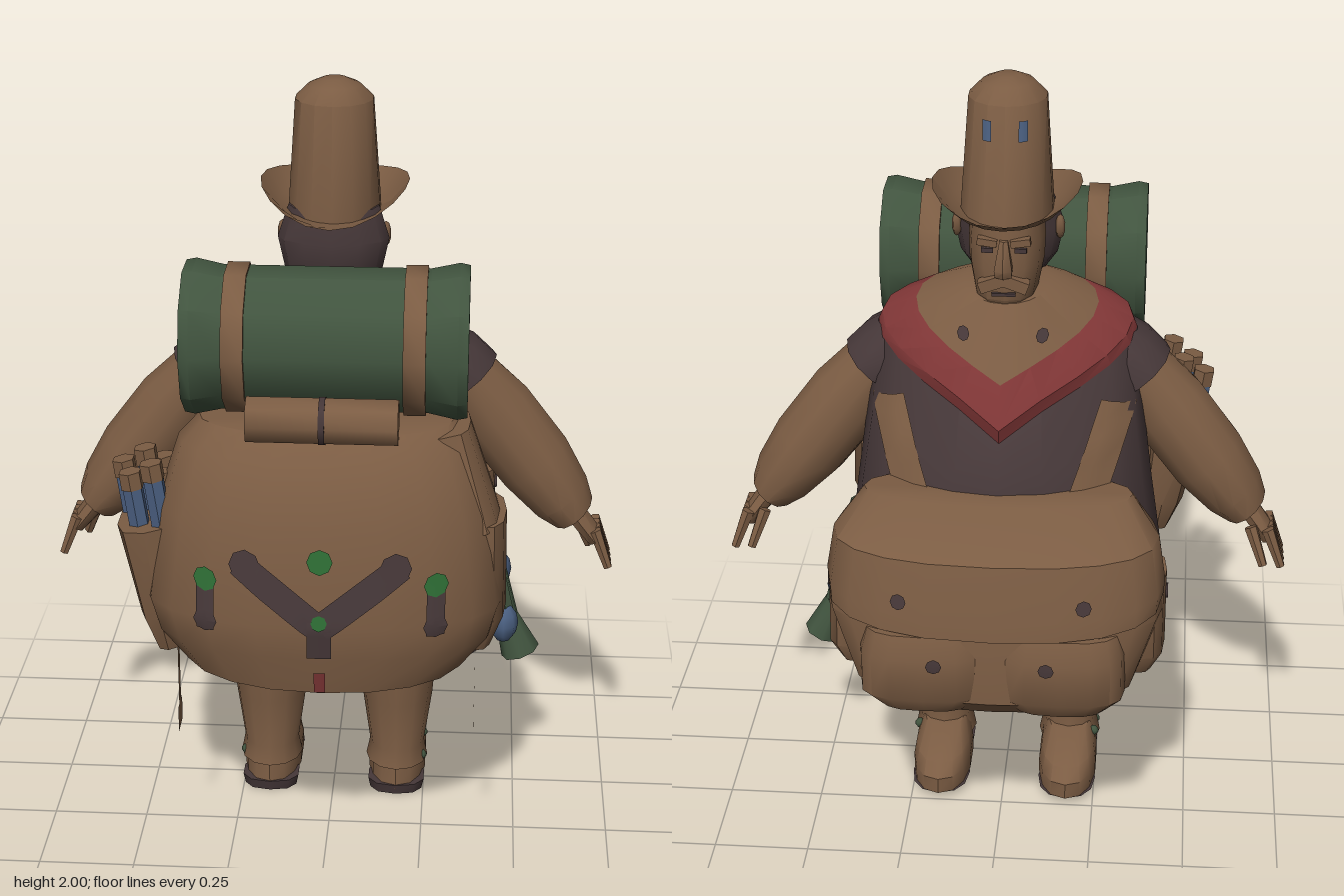
import * as THREE from 'three';
import { toCreasedNormals } from 'three/addons/utils/BufferGeometryUtils.js';

const colour = (name, hex, side = THREE.FrontSide) => {
  const m = new THREE.MeshStandardMaterial({ color: hex, side });
  m.name = name;
  return m;
};

// A flat ring: height, half width, z of the -z edge, z of the +z edge
const ring = (y, hx, zf, zb) => [hx, zf, y, zb, y];

// Skin over rings [halfWidth, zMin, yAtZMin, zMax, yAtZMax, pull to +z, hump], listed bottom to top
function loft(rings, n = 16, p = 1, openBottom = false) {
  const pos = [], idx = [];
  const pow = v => Math.sign(v) * Math.abs(v) ** p;
  rings.forEach(([hx, zf, yf, zb, yb, pull = 1, hump = 1]) => {
    for (let j = 0; j < n; j++) {
      const a = j / n * Math.PI * 2, t = Math.max(0, (pow(Math.cos(a)) + 1) / 2) ** pull;
      pos.push(hx * pow(Math.sin(a)), yf + (yb - yf) * t ** hump, zf + (zb - zf) * t);
    }
  });
  const last = rings.length - 1;
  for (let i = 0; i < last; i++) for (let j = 0; j < n; j++) {
    const a = i * n + j, b = i * n + (j + 1) % n;
    idx.push(a, b, b + n, a, b + n, a + n);
  }
  (openBottom ? [last] : [0, last]).forEach(i => {
    const [, zf, yf, zb, yb] = rings[i], c = pos.length / 3;
    pos.push(0, (yf + yb) / 2, (zf + zb) / 2);
    for (let j = 0; j < n; j++) {
      const a = i * n + j, b = i * n + (j + 1) % n;
      idx.push(c, i ? a : b, i ? b : a);
    }
  });
  const g = new THREE.BufferGeometry();
  g.setAttribute('position', new THREE.Float32BufferAttribute(pos, 3));
  g.setIndex(idx);
  return toCreasedNormals(g, 0.7);
}

export function createModel() {
  const model = new THREE.Group();
  const brown = colour('brown leather', 0x7b5c43, THREE.DoubleSide);
  const dark = colour('dark cloth', 0x453738, THREE.DoubleSide);
  const green = colour('dull green', 0x41543f);
  const red = colour('red cloth', 0x7d3535);
  const blue = colour('slate blue', 0x4a5f80);
  const bright = colour('bright green', 0x2d6b34);

  const add = (name, geo, mat, x = 0, y = 0, z = 0, parent = model) => {
    const m = new THREE.Mesh(geo, mat);
    m.name = name;
    m.position.set(x, y, z);
    parent.add(m);
    return m;
  };
  const cyl = (rt, rb, h, n = 8) => toCreasedNormals(new THREE.CylinderGeometry(rt, rb, h, n), 0.8);
  // Cylinder reaching from point a to point b
  const rod = (name, a, b, ra, rb, mat, n = 6) => {
    const A = new THREE.Vector3(...a), B = new THREE.Vector3(...b), d = B.clone().sub(A);
    const m = add(name, cyl(rb, ra, d.length(), n), mat);
    m.position.copy(A).add(B).multiplyScalar(0.5);
    m.quaternion.setFromUnitVectors(new THREE.Vector3(0, 1, 0), d.normalize());
  };
  // Lay a flat patch on a mesh, seen from +z (dir 1) or -z (dir -1)
  const caster = new THREE.Raycaster();
  const drape = (name, target, geo, mat, x, y, dir = 1, turn = 0, lift = 0.006) => {
    if (dir < 0) geo.rotateY(Math.PI);
    geo.rotateZ(turn).translate(x, y, 0);
    const p = geo.attributes.position;
    let z = 0;
    for (let i = 0; i < p.count; i++) {
      caster.set(new THREE.Vector3(p.getX(i), p.getY(i), 3 * dir), new THREE.Vector3(0, 0, -dir));
      const hit = caster.intersectObject(target)[0];
      if (hit) z = hit.point.z;
      p.setZ(i, z + lift * dir);
    }
    geo.computeVertexNormals();
    add(name, geo, mat);
  };
  const strip = (w, l) => new THREE.PlaneGeometry(w, l, 3, 8);
  const dot = r => new THREE.CircleGeometry(r, 8);

  // Tunic, scarf and collar share their edge rings
  const scarfLow = [0.335, -0.31, 1.14, 0.14, 1.40, 0.6, 0.6], scarfTop = [0.235, -0.265, 1.28, 0.12, 1.455, 0.65, 0.65];
  const tunic = add('tunic', loft([ring(0.44, 0.43, -0.39, 0.265), ring(0.7, 0.42, -0.4, 0.24),
    ring(0.95, 0.385, -0.39, 0.19), [0.355, -0.36, 1.06, 0.15, 1.24, 0.85, 0.8], scarfLow], 20, 1, true), dark);
  add('scarf', loft([scarfLow, [0.325, -0.322, 1.18, 0.145, 1.42, 0.6, 0.6], scarfTop], 20), red);
  const collar = add('collar', loft([scarfTop, [0.11, -0.145, 1.45, 0.07, 1.49]], 20), brown);
  for (const s of [1, -1]) {
    drape('shoulderStrap', tunic, strip(0.095, 0.3), brown, s * 0.245, 1.06, -1, -s * 0.35);
    drape('collarStud', collar, dot(0.016), dark, s * 0.1, 1.38, -1);
  }

  // Head
  add('head', loft([ring(1.42, 0.05, -0.125, 0), ring(1.46, 0.08, -0.15, 0.05), ring(1.54, 0.096, -0.15, 0.09),
    ring(1.6, 0.098, -0.145, 0.1), ring(1.7, 0.09, -0.13, 0.1)], 12, 0.9), brown);
  add('hair', loft([ring(1.47, 0.09, 0, 0.1), ring(1.52, 0.125, -0.03, 0.125), ring(1.6, 0.142, -0.03, 0.13),
    ring(1.68, 0.115, -0.04, 0.11)], 12), dark);
  add('nose', loft([ring(1.53, 0.024, -0.18, -0.13), ring(1.55, 0.026, -0.188, -0.13), ring(1.62, 0.012, -0.155, -0.13)], 6), brown);
  add('mouth', new THREE.BoxGeometry(0.06, 0.008, 0.01), dark, 0, 1.478, -0.149);
  for (const s of [1, -1]) {
    add('moustache', new THREE.BoxGeometry(0.065, 0.03, 0.035), brown, s * 0.03, 1.508, -0.145).rotation.z = -s * 0.35;
    add('brow', new THREE.BoxGeometry(0.05, 0.018, 0.025), brown, s * 0.042, 1.615, -0.138).rotation.z = s * 0.15;
    add('eye', new THREE.BoxGeometry(0.03, 0.012, 0.01), dark, s * 0.042, 1.592, -0.137);
    add('ear', new THREE.SphereGeometry(0.033, 6, 5).scale(0.4, 1, 0.6), brown, s * 0.132, 1.6, 0.015);
  }

  // Hat with a curled brim
  const crown = add('hatCrown', loft([ring(1.655, 0.12, -0.152, 0.13), ring(1.95, 0.1, -0.095, 0.112),
    ring(1.985, 0.065, -0.055, 0.08), ring(2, 0.03, -0.02, 0.045)], 14), brown);
  const brim = new THREE.RingGeometry(0.5, 1, 20, 2).rotateX(-Math.PI / 2), bp = brim.attributes.position;
  for (let i = 0; i < bp.count; i++) {
    const x = bp.getX(i), z = bp.getZ(i), t = 2 * Math.hypot(x, z) - 1;
    bp.setXYZ(i, x * 0.19, 1.655 + t * (0.08 * x * x + (z < 0 ? 0.045 : 0.015) * z * z), z * 0.245 - 0.018);
  }
  brim.computeVertexNormals();
  add('hatBrim', brim, brown);
  for (const s of [1, -1]) drape('hatSpot', crown, strip(0.022, 0.05), blue, s * 0.045, 1.89, -1);

  // Arms and hands
  for (const s of [1, -1]) {
    const arm = new THREE.Group();
    arm.name = s > 0 ? 'leftArm' : 'rightArm';
    arm.position.set(s * 0.325, 1.235, 0);
    arm.rotation.z = s * 0.66;
    model.add(arm);
    add('sleeve', loft([ring(-0.51, 0.062, -0.1, 0.085), ring(-0.45, 0.085, -0.115, 0.1), ring(-0.33, 0.105, -0.12, 0.1),
      ring(-0.15, 0.108, -0.105, 0.1), ring(0.03, 0.08, -0.08, 0.1)], 12), brown, 0, 0, 0, arm);
    add('shoulderCap', loft([ring(-0.03, 0.1, -0.12, 0.125), ring(0.04, 0.09, -0.11, 0.125),
      ring(0.13, 0.05, -0.06, 0.1)], 12), dark, 0, 0, 0, arm);
    add('palm', loft([ring(-0.61, 0.024, -0.075, 0.035), ring(-0.55, 0.028, -0.06, 0.035),
      ring(-0.48, 0.028, -0.045, 0.03)], 8), brown, 0, 0, 0, arm);
    for (let f = 0; f < 5; f++) {
      const thumb = f === 4;
      const finger = add(thumb ? 'thumb' : 'finger', cyl(0.018, 0.012, 0.11, 6), brown,
        s * (thumb ? -0.03 : 0.002), thumb ? -0.6 : -0.635, thumb ? -0.08 : 0.025 - f * 0.032, arm);
      finger.rotation.set(thumb ? 0.3 : (f - 1.2) * 0.08, 0, -s * 0.3);
    }
  }

  // Legs and shoes
  for (const s of [1, -1]) {
    const x = s * 0.175;
    add('leg', loft([ring(0.08, 0.085, -0.085, 0.105), ring(0.13, 0.075, -0.07, 0.095), ring(0.28, 0.096, -0.085, 0.11),
      ring(0.44, 0.108, -0.1, 0.12), ring(0.8, 0.14, -0.15, 0.13)], 12), brown, x);
    add('shoe', loft([ring(0.02, 0.08, -0.25, 0.105), ring(0.065, 0.08, -0.25, 0.1), [0.074, -0.215, 0.095, 0.095, 0.11],
      [0.058, -0.1, 0.135, 0.085, 0.15]], 14, 0.85), brown, x);
    add('sole', loft([ring(0.004, 0.07, -0.22, -0.06), ring(0.021, 0.079, -0.248, -0.04)], 12, 0.85), dark, x);
    add('heel', loft([ring(0, 0.074, -0.02, 0.1), ring(0.03, 0.08, -0.025, 0.107)], 10, 0.8), dark, x);
    for (const [y, z] of [[0.095, 0.04], [0.115, -0.05]])
      add('ankleStud', new THREE.SphereGeometry(0.014, 6, 5), green, x + s * 0.07, y, z);
  }

  // Backpack and the painted emblem on its face
  const pack = add('backpack', loft([[0.12, 0.28, 0.54, 0.46, 0.535], [0.36, 0.18, 0.63, 0.585, 0.58], ring(0.68, 0.43, 0.155, 0.605),
    ring(0.77, 0.455, 0.15, 0.615), ring(1.0, 0.425, 0.14, 0.57), ring(1.17, 0.37, 0.15, 0.52),
    ring(1.22, 0.32, 0.17, 0.46)], 20, 0.9), brown);
  for (const s of [1, -1]) {
    drape('emblemArm', pack, strip(0.07, 0.25), dark, s * 0.1, 0.85, 1, -s * 0.92);
    drape('emblemTip', pack, dot(0.04), dark, s * 0.185, 0.92);
    drape('buckleStrap', pack, strip(0.045, 0.14), dark, s * 0.285, 0.815);
    drape('buckleStrapEnd', pack, dot(0.03), dark, s * 0.285, 0.77);
    drape('buckle', pack, dot(0.03), bright, s * 0.285, 0.875, 1, 0, 0.009);
    const tag = new THREE.Group();
    tag.name = 'hangingPaddle';
    tag.position.set(s * 0.385, 0, 0.345);
    tag.rotation.y = Math.PI / 2;
    model.add(tag);
    add('paddleStick', new THREE.PlaneGeometry(0.035, 0.26), brown, 0, 0.52, 0, tag);
    add('paddleBlade', new THREE.PlaneGeometry(0.075, 0.07), brown, 0, 0.375, 0, tag);
  }
  drape('emblemStem', pack, strip(0.06, 0.1), dark, 0, 0.74);
  drape('emblemStud', pack, dot(0.032), bright, 0, 0.94);
  drape('emblemStud', pack, dot(0.02), bright, 0, 0.79, 1, 0, 0.009);
  drape('redTab', pack, strip(0.028, 0.06), red, 0, 0.615);

  // Side pocket with flap, and the open pocket of map tubes
  add('sidePocket', loft([ring(0.63, 0.05, 0.24, 0.43), ring(0.72, 0.085, 0.2, 0.46), ring(0.98, 0.08, 0.21, 0.45)], 12, 0.7), brown, 0.375);
  add('sideFlap', loft([ring(0.97, 0.1, 0.2, 0.46), ring(1.02, 0.095, 0.205, 0.45), ring(1.23, 0.07, 0.24, 0.42)], 12, 0.6),
    brown, 0.535).rotation.z = 0.2;
  const holder = new THREE.Group();
  holder.name = 'tubePocket';
  holder.position.set(-0.4, 0.6, 0);
  holder.rotation.z = 0.14;
  model.add(holder);
  add('pocket', loft([ring(0, 0.035, 0.25, 0.42), ring(0.1, 0.06, 0.21, 0.45), ring(0.35, 0.08, 0.2, 0.46)], 10, 0.7), brown, 0, 0, 0, holder);
  [[0.04, 0.24], [-0.05, 0.3], [0.01, 0.3], [0.045, 0.35], [-0.02, 0.39], [0.04, 0.41]].forEach(([x, z], i) => {
    const top = 0.43 + (i % 3) * 0.025;
    add('mapTube', cyl(0.027, 0.027, 0.13, 6), i === 3 ? red : blue, x, top - 0.065, z, holder);
    add('tubeCap', cyl(0.03, 0.03, 0.045, 6), brown, x, top + 0.015, z, holder);
  });

  // Bedroll, its straps and the small roll behind it
  const roll = new THREE.Group();
  roll.name = 'bedroll';
  roll.position.set(0, 1.415, 0.3);
  roll.rotation.z = Math.PI / 2;
  model.add(roll);
  add('blanket', loft([[-0.35, 0.19], [-0.325, 0.195], [-0.255, 0.18], [0.255, 0.18], [0.325, 0.195], [0.35, 0.19]]
    .map(([y, r]) => ring(y, r, -r * 0.9, r * 0.9)), 10), green, 0, 0, 0, roll);
  for (const s of [1, -1]) add('rollStrap', cyl(0.187, 0.187, 0.055, 10).scale(1, 1, 0.93), brown, 0, s * 0.22, 0, roll);
  add('smallRoll', cyl(0.06, 0.06, 0.37, 8).rotateZ(Math.PI / 2), brown, 0, 1.265, 0.47);
  add('smallRollTie', cyl(0.063, 0.063, 0.015, 8).rotateZ(Math.PI / 2), dark, 0, 1.265, 0.47);

  // Belly bag with flap, front and side pockets, and studs
  add('bellyBag', loft([[0.24, -0.54, 0.49, -0.37, 0.51], [0.36, -0.6, 0.55, -0.27, 0.57], ring(0.75, 0.425, -0.597, -0.25),
    ring(0.93, 0.41, -0.55, -0.24), ring(1.01, 0.35, -0.42, -0.24)], 20, 0.82), brown);
  const flap = add('bellyFlap', loft([[0.425, -0.612, 0.74, -0.24, 0.85], [0.428, -0.605, 0.79, -0.24, 0.88],
    [0.41, -0.57, 0.93, -0.235, 0.96], [0.34, -0.43, 1.025, -0.235, 1.02]], 20, 0.82), brown);
  for (const s of [1, -1]) {
    const pocket = add('frontPocket', loft([ring(0.51, 0.12, -0.58, -0.43), ring(0.56, 0.165, -0.614, -0.43),
      ring(0.68, 0.165, -0.62, -0.43), ring(0.74, 0.15, -0.6, -0.43)], 16, 0.7), brown, s * 0.17);
    pocket.updateMatrixWorld();
    drape('pocketStud', pocket, dot(0.02), dark, s * 0.14, 0.67, -1);
    drape('flapStud', flap, dot(0.02), dark, s * 0.23, 0.83, -1);
    add('sidePouch', loft([ring(0.56, 0.05, -0.44, -0.28), ring(0.62, 0.08, -0.47, -0.26), ring(0.82, 0.08, -0.45, -0.26)], 12, 0.6),
      brown, s * 0.352);
    add('sideStud', cyl(0.02, 0.02, 0.009).rotateZ(Math.PI / 2), dark, s * 0.432, 0.76, -0.355);
  }

  // Horn and two tasselled pods hanging at the left hip
  rod('horn', [0.41, 0.78, -0.02], [0.47, 0.5, -0.03], 0.022, 0.032, green, 8);
  rod('hornBell', [0.47, 0.5, -0.03], [0.51, 0.395, -0.03], 0.032, 0.054, green, 8);
  for (const [x, y, z] of [[0.46, 0.52, 0.05], [0.44, 0.6, -0.12]]) {
    rod('podStem', [0.41, 0.8, z * 0.3 - 0.02], [x, y, z], 0.016, 0.034, green);
    add('pod', new THREE.SphereGeometry(0.045, 8, 6).scale(0.9, 1.25, 1), blue, x, y, z);
  }
  return model;
}
